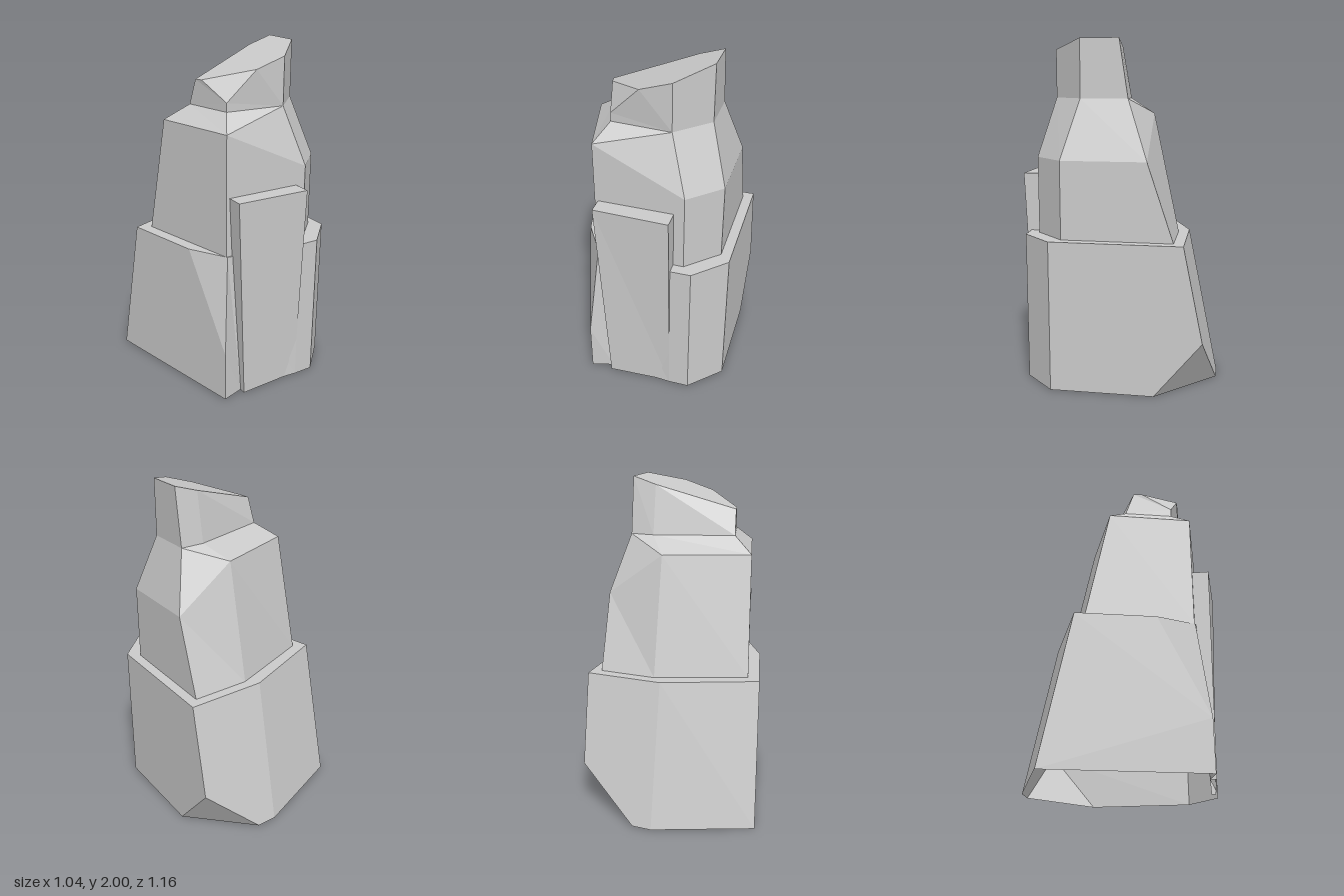
import * as THREE from 'three';

const material = new THREE.MeshStandardMaterial({ color: 0xcccccc, flatShading: true, side: THREE.DoubleSide });

// Faceted block: rings of [x, y, z] corners running back-left, right, front, left.
// The bottom stays open, the last ring is capped. Repeated corners collapse to triangles.
function block(name, rings) {
  const pos = [];
  const tri = (a, b, c) => {
    const u = new THREE.Vector3(...b).sub(new THREE.Vector3(...a));
    const v = new THREE.Vector3(...c).sub(new THREE.Vector3(...a));
    if (u.cross(v).length() > 1e-6) pos.push(...a, ...b, ...c);
  };
  const n = rings[0].length;
  for (let r = 0; r + 1 < rings.length; r++) {
    for (let i = 0; i < n; i++) {
      const j = (i + 1) % n, a = rings[r], b = rings[r + 1];
      tri(a[i], b[i], b[j]);
      tri(a[i], b[j], a[j]);
    }
  }
  const top = rings[rings.length - 1];
  const centre = [0, 1, 2].map(k => top.reduce((s, p) => s + p[k], 0) / n);
  for (let i = 0; i < n; i++) tri(centre, top[(i + 1) % n], top[i]);

  const geometry = new THREE.BufferGeometry();
  geometry.setAttribute('position', new THREE.Float32BufferAttribute(pos, 3));
  geometry.computeVertexNormals();
  const mesh = new THREE.Mesh(geometry, material);
  mesh.name = name;
  return mesh;
}

// Ring of [x, z] corners; y is a number or a function of x
const ring = (y, pts) => pts.map(([x, z]) => [x, typeof y === 'function' ? y(x) : y, z]);
// Copy of a ring with some corners moved
const moved = (base, changes) => base.map((p, i) => changes[i] || p);

export function createModel() {
  const group = new THREE.Group();
  group.name = 'rock';

  // Wide base with an undercut back corner and a chipped front corner
  const foot = ring(0, [[-0.52, -0.36], [0.06, -0.58], [0.18, -0.58], [0.52, -0.24], [0.52, 0.36],
    [0.34, 0.54], [0.22, 0.54], [-0.16, 0.505], [-0.29, 0.54], [-0.29, 0.54]]);
  const footMid = moved(foot, { 3: [0.52, 0.33, -0.512], 8: [-0.29, 0.3, 0.54], 9: [-0.29, 0.3, 0.54] });
  const ledge = ring(0.88, [[-0.48, -0.19], [0.06, -0.4], [0.06, -0.4], [0.52, -0.4], [0.52, 0.36],
    [0.34, 0.54], [0.22, 0.54], [-0.235, 0.47], [-0.235, 0.47], [-0.365, 0.26]]);
  group.add(block('baseRock', [foot, footMid, ledge]));

  // Middle tier with sloping shoulders
  const waist = ring(0.88, [[-0.4, -0.15], [0.12, -0.34], [0.46, -0.34], [0.46, 0.3],
    [0.28, 0.475], [-0.24, 0.465], [-0.24, 0.465]]);
  const shoulder = [[-0.365, 1.58, 0.01 - 0.02], [0.12, 1.58, -0.19], [0.46, 1.33, -0.19], [0.46, 1.33, 0.3],
    [0.28, 1.33, 0.475], [-0.24, 1.58, 0.465], [-0.24, 1.58, 0.465]];
  const neck = ring(1.67, [[-0.24, 0.07], [0.22, -0.07], [0.36, -0.07], [0.36, 0.2],
    [0.18, 0.38], [0.18, 0.38], [-0.17, 0.35]]);
  group.add(block('middleRock', [waist, shoulder, neck]));

  // Top tier with a slanted cap and a chipped corner
  const capFoot = ring(1.67, [[-0.24, 0.07], [0.22, -0.07], [0.36, -0.07], [0.36, 0.2],
    [0.18, 0.38], [-0.17, 0.35], [-0.17, 0.35]]);
  const capMid = moved(capFoot, { 5: [-0.17, 1.72, 0.35], 6: [-0.17, 1.72, 0.35] });
  const capTop = ring(x => 1.888 + 0.311 * x, [[-0.23, 0.12], [0.22, -0.02], [0.36, -0.02], [0.36, 0.2],
    [0.18, 0.38], [0, 0.38], [-0.22, 0.17]]);
  group.add(block('topRock', [capFoot, capMid, capTop]));

  // Thin leaning slab on the front
  group.add(block('frontSlab', [
    ring(0, [[-0.16, 0.505], [0.22, 0.505], [0.22, 0.53], [-0.16, 0.542]]),
    ring(1.225, [[-0.22, 0.44], [0.22, 0.44], [0.22, 0.58], [-0.22, 0.562]]),
  ]));

  return group;
}
